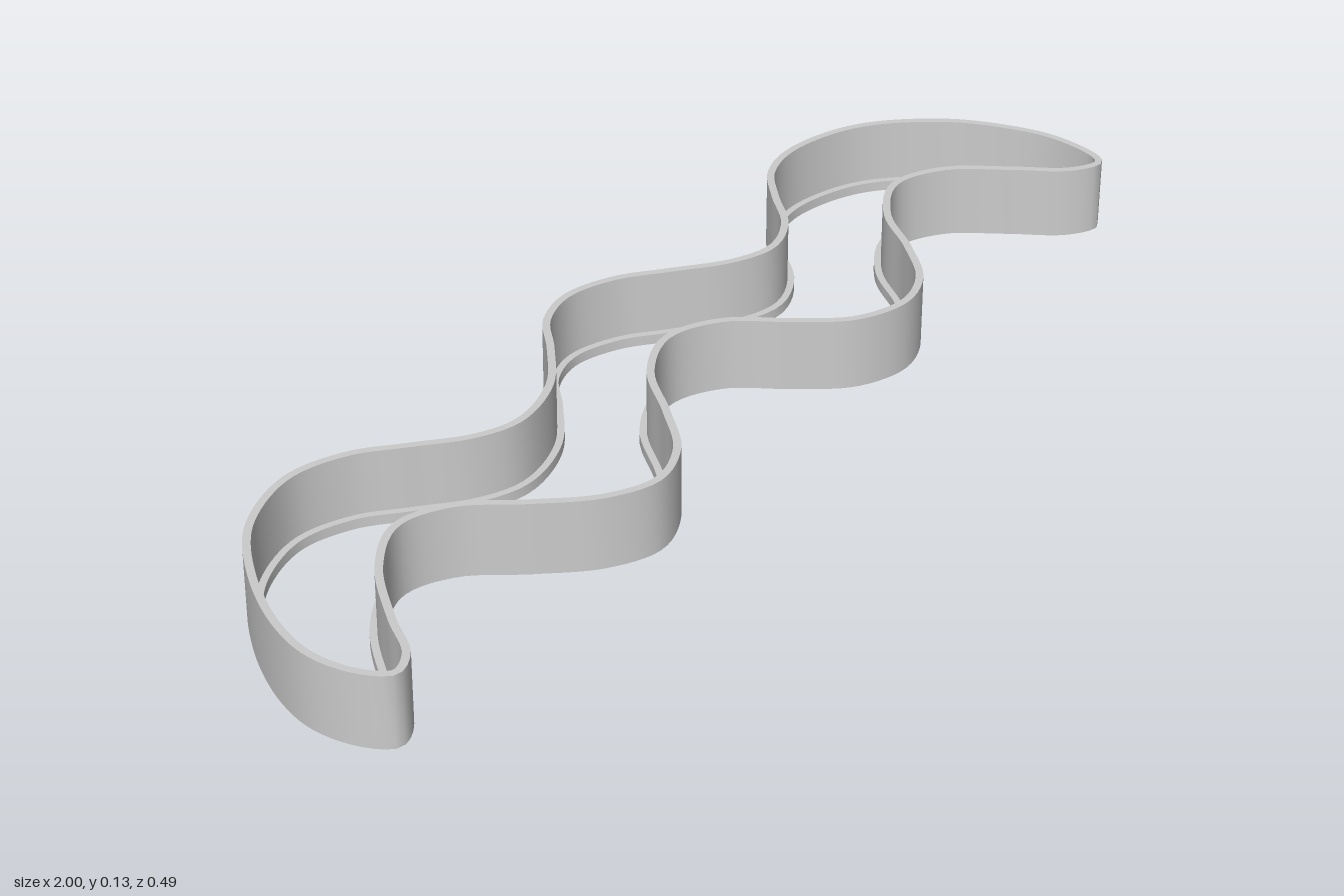
import * as THREE from 'three';

const HEIGHT = 0.13, LEDGE_HEIGHT = 0.018, BLADE = 0.013, LEDGE = 0.025;
const SEGMENTS = 320;

// Outer outline as [x, z], back edge left to right, then front edge right to left
const OUTLINE = [
  [-1, 0.1], [-0.975, 0.01], [-0.9, -0.11], [-0.8, -0.205], [-0.667, -0.246], [-0.56, -0.215],
  [-0.48, -0.152], [-0.4, -0.088], [-0.325, -0.062], [-0.22, -0.087], [-0.13, -0.155], [-0.06, -0.218],
  [0.025, -0.241], [0.12, -0.212], [0.2, -0.152], [0.29, -0.085], [0.365, -0.062], [0.44, -0.09],
  [0.51, -0.16], [0.58, -0.217], [0.675, -0.236], [0.82, -0.192], [0.935, -0.075], [0.985, 0.04],
  [0.999, 0.13], [0.977, 0.228], [0.955, 0.242], [0.9, 0.212], [0.84, 0.125], [0.77, 0.033],
  [0.68, -0.005], [0.58, 0.045], [0.51, 0.132], [0.43, 0.21], [0.345, 0.234], [0.25, 0.2],
  [0.18, 0.12], [0.11, 0.025], [0.02, -0.014], [-0.08, 0.027], [-0.16, 0.118], [-0.24, 0.199],
  [-0.33, 0.228], [-0.42, 0.19], [-0.5, 0.11], [-0.58, 0.018], [-0.665, -0.014], [-0.76, 0.034],
  [-0.85, 0.135], [-0.905, 0.21], [-0.955, 0.228], [-0.987, 0.185],
];

// Wall section as [inward offset, height]: straight outside, stepped inside
const SECTION = [
  [0, 0], [0, HEIGHT], [BLADE, HEIGHT], [BLADE, LEDGE_HEIGHT], [LEDGE, LEDGE_HEIGHT], [LEDGE, 0],
];

// Closed smooth strip between two corners of the section
function stripGeometry(curve, from, to) {
  const positions = [], indices = [];
  for (let i = 0; i < SEGMENTS; i++) {
    const p = curve.getPointAt(i / SEGMENTS), t = curve.getTangentAt(i / SEGMENTS);
    for (const [offset, y] of [from, to]) {
      positions.push(p.x - t.z * offset, y, p.z + t.x * offset);
    }
    const a = 2 * i, b = 2 * ((i + 1) % SEGMENTS);
    indices.push(a, a + 1, b + 1, a, b + 1, b);
  }
  const geometry = new THREE.BufferGeometry();
  geometry.setAttribute('position', new THREE.Float32BufferAttribute(positions, 3));
  geometry.setIndex(indices);
  geometry.computeVertexNormals();
  return geometry;
}

export function createModel() {
  const group = new THREE.Group();
  group.name = 'wavyCutter';
  const material = new THREE.MeshStandardMaterial({ color: 0xcccccc });
  const curve = new THREE.CatmullRomCurve3(
    OUTLINE.map(([x, z]) => new THREE.Vector3(x, 0, z)), true, 'centripetal');
  curve.arcLengthDivisions = 1000;

  // One strip per side of the wall section, so its edges stay sharp
  const names = ['outerWall', 'topRim', 'innerWall', 'ledgeTop', 'ledgeSide', 'bottomRim'];
  names.forEach((name, i) => {
    const mesh = new THREE.Mesh(
      stripGeometry(curve, SECTION[i], SECTION[(i + 1) % SECTION.length]), material);
    mesh.name = name;
    group.add(mesh);
  });
  return group;
}
